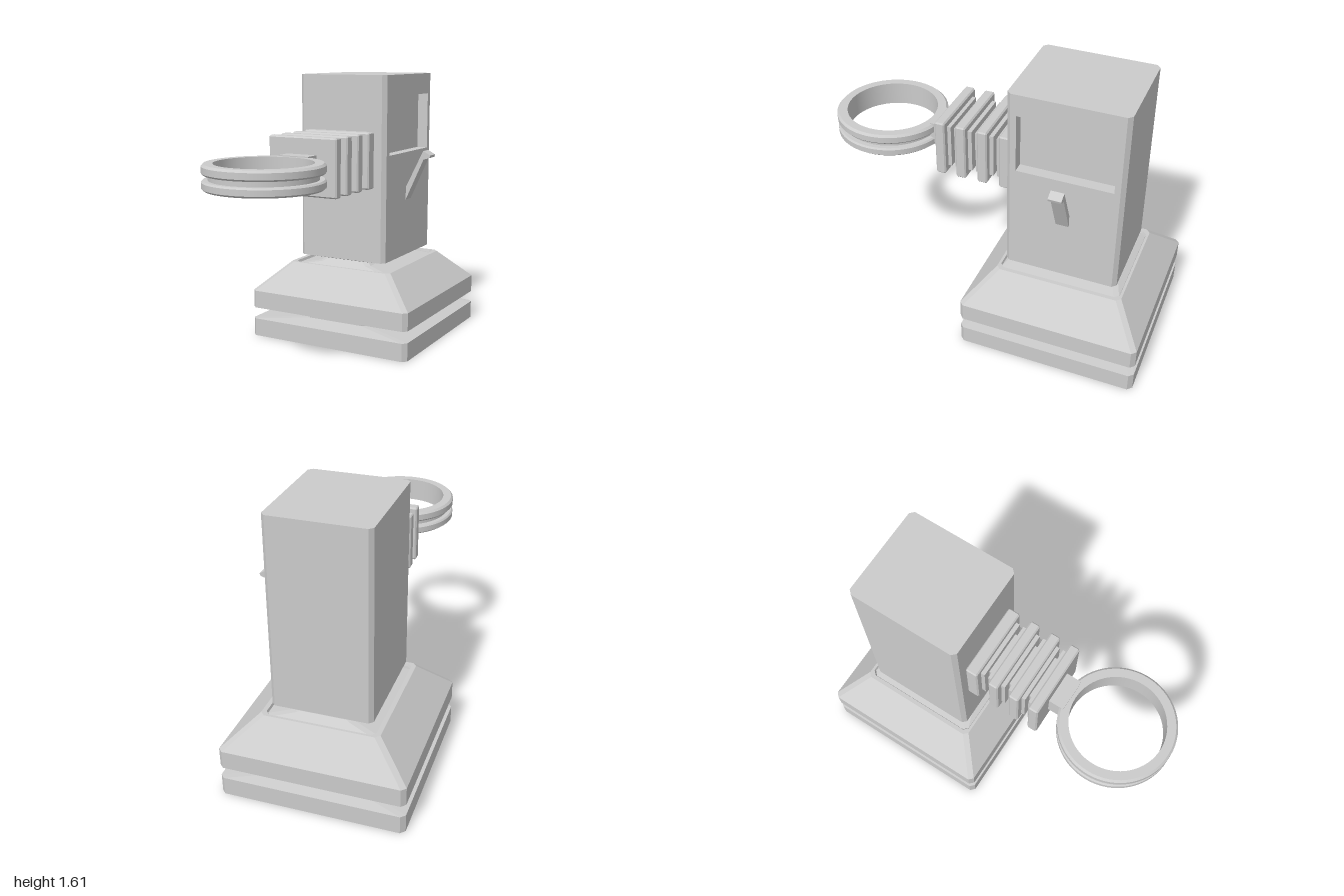
import * as THREE from 'three';

const grey = new THREE.MeshStandardMaterial({ color: 0xcccccc, flatShading: true });
const smooth = new THREE.MeshStandardMaterial({ color: 0xcccccc, side: THREE.DoubleSide });
const BODY_Z = -0.4725;

// rectangle with clipped corners, counter-clockwise
function clippedRect(hx, hy, c) {
  return [[hx, -hy + c], [hx, hy - c], [hx - c, hy], [-hx + c, hy],
    [-hx, hy - c], [-hx, -hy + c], [-hx + c, -hy], [hx - c, -hy]];
}

// stack of clipped rectangles joined into a closed solid; each ring is [halfX, halfZ, y]
function loft(rings, clip) {
  const pos = [];
  const loops = rings.map(([hx, hz, y]) =>
    clippedRect(hx, hz, clip).map(([x, z]) => [x, y, z]));
  const tri = (a, b, c) => pos.push(...a, ...b, ...c);
  for (let r = 0; r < loops.length - 1; r++) {
    const lo = loops[r], up = loops[r + 1];
    for (let i = 0; i < 8; i++) {
      const j = (i + 1) % 8;
      tri(lo[i], up[i], lo[j]);
      tri(lo[j], up[i], up[j]);
    }
  }
  const first = loops[0], last = loops[loops.length - 1];
  for (let i = 1; i < 7; i++) {
    tri(first[0], first[i], first[i + 1]);
    tri(last[0], last[i + 1], last[i]);
  }
  const g = new THREE.BufferGeometry();
  g.setAttribute('position', new THREE.Float32BufferAttribute(pos, 3));
  g.computeVertexNormals();
  return g;
}

function shapeOf(points) {
  return new THREE.Shape(points.map(([x, y]) => new THREE.Vector2(x, y)));
}

export function createModel() {
  const model = new THREE.Group();
  const add = (name, geometry, parent = model, material = grey) => {
    const mesh = new THREE.Mesh(geometry, material);
    mesh.name = name;
    parent.add(mesh);
    return mesh;
  };

  // stepped pedestal with a deep groove, sloped roof, rimmed recess and neck
  add('pedestal', loft([
    [0.523, 0.525, 0], [0.523, 0.525, 0.108], [0.2, 0.405, 0.13],
    [0.2, 0.405, 0.154], [0.523, 0.525, 0.178], [0.523, 0.525, 0.285],
    [0.335, 0.37, 0.46], [0.31, 0.355, 0.46], [0.305, 0.35, 0.445],
    [0.17, 0.3, 0.47], [0.14, 0.28, 0.49], [0.283, 0.328, 0.505],
  ], 0.025)).position.z = -0.475;

  // column, stacked in three slices so the middle one carries the window recess
  const column = new THREE.Group();
  column.name = 'column';
  column.position.z = BODY_Z;
  model.add(column);
  const plan = clippedRect(0.285, 0.328, 0.023);
  const notch = [[0.285, -0.272], [0.22, -0.272], [0.22, 0.272], [0.285, 0.272]];
  const notchedPlan = [plan[0], ...notch, ...plan.slice(1)];
  const slices = [
    ['columnLower', plan, 0.505, 1.14],
    ['columnWindow', notchedPlan, 1.14, 1.48],
    ['columnUpper', plan, 1.48, 1.605],
  ];
  for (const [name, points, y0, y1] of slices) {
    const g = new THREE.ExtrudeGeometry(shapeOf(points), { depth: y1 - y0, bevelEnabled: false });
    g.rotateX(-Math.PI / 2);
    add(name, g, column).position.y = y0;
  }

  // slanted side lever with a bent tip
  const lever = new THREE.ExtrudeGeometry(shapeOf([
    [0.27, 0.815], [0.284, 0.847], [0.398, 1.1], [0.436, 1.112],
    [0.441, 1.127], [0.395, 1.152], [0.284, 0.924], [0.27, 0.895],
  ]), { depth: 0.075, bevelEnabled: false });
  add('lever', lever).position.z = -0.512;

  // bellows: bevelled plates with thinner steps and a core between them
  const bellows = new THREE.Group();
  bellows.name = 'bellows';
  bellows.position.y = 1.115;
  model.add(bellows);
  const plates = [[-0.147, -0.074], [-0.004, 0.055], [0.124, 0.184], [0.247, 0.306]];
  const b = 0.008;
  plates.forEach(([z0, z1], i) => {
    const g = new THREE.ExtrudeGeometry(shapeOf(clippedRect(0.215 - b, 0.165 - b, 0.002)), {
      depth: z1 - z0 - 2 * b, bevelThickness: b, bevelSize: b, bevelSegments: 1,
    });
    add('bellowsPlate', g, bellows).position.z = z0 + b;
    if (i === plates.length - 1) return;
    const gap = plates[i + 1][0] - z1;
    const step = gap * 0.34;
    for (const z of [z1 + step / 2, z1 + gap - step / 2]) {
      add('bellowsStep', new THREE.BoxGeometry(0.35, 0.255, step), bellows).position.z = z;
    }
    add('bellowsCore', new THREE.BoxGeometry(0.26, 0.17, gap), bellows).position.z = z1 + gap / 2;
  });

  // link from the bellows to the ring
  add('ringLink', new THREE.BoxGeometry(0.186, 0.137, 0.1)).position.set(0, 1.115, 0.345);

  // grooved ring: each profile segment is its own lathe so the edges stay sharp
  const ring = new THREE.Group();
  ring.name = 'ring';
  ring.position.set(0, 1.11, 0.678);
  model.add(ring);
  const profile = [
    [0.262, -0.068], [0.31, -0.068], [0.322, -0.058], [0.322, -0.026], [0.314, -0.017],
    [0.288, -0.017], [0.288, 0.013], [0.314, 0.013], [0.322, 0.022], [0.322, 0.056],
    [0.31, 0.068], [0.262, 0.068], [0.262, -0.068],
  ].map(([x, y]) => new THREE.Vector2(x, y));
  for (let i = 0; i < profile.length - 1; i++) {
    add('ringBand', new THREE.LatheGeometry([profile[i], profile[i + 1]], 64), ring, smooth);
  }
  return model;
}
